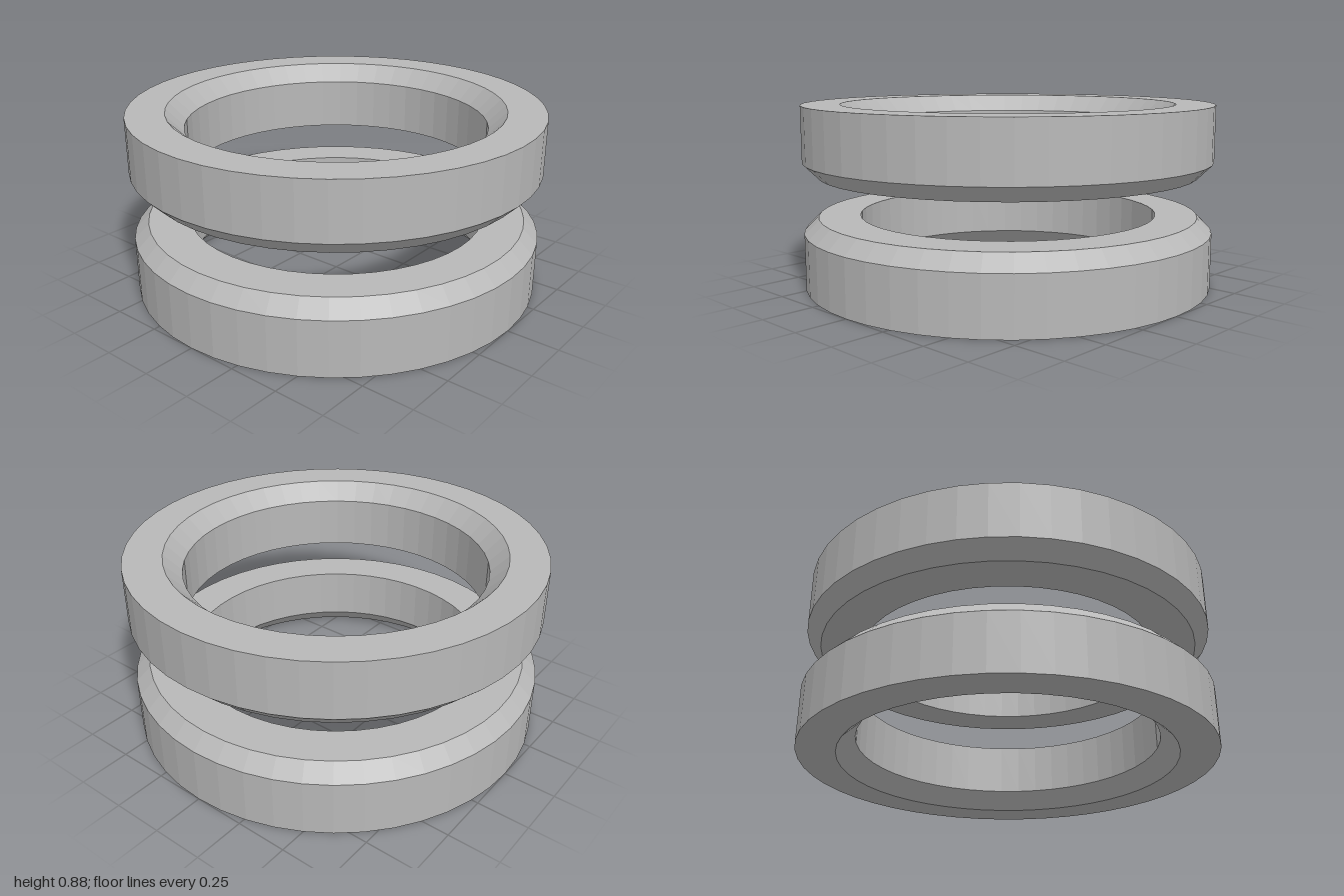
import * as THREE from 'three';

const HEIGHT = 0.34;
const TOTAL = 0.88;
const SEGMENTS = 48;

// Ring cross-section (radius, height): outer bevel on top, inner bevel underneath
const PROFILE = [
  [0.815, 0], [1, 0], [1, 0.27], [0.93, HEIGHT], [0.73, HEIGHT], [0.73, 0.085], [0.815, 0],
];

function bevelledRing(name, material) {
  const points = PROFILE.map(([r, y]) => new THREE.Vector2(r, y));
  // Separate faces give crisp facets
  const geometry = new THREE.LatheGeometry(points, SEGMENTS).toNonIndexed();
  geometry.computeVertexNormals();
  const mesh = new THREE.Mesh(geometry, material);
  mesh.name = name;
  return mesh;
}

export function createModel() {
  const model = new THREE.Group();
  model.name = 'ringPair';
  const grey = new THREE.MeshStandardMaterial({ color: 0xb8b8b8 });
  grey.name = 'light grey';

  // Lower ring stands on the ground
  const lower = bevelledRing('lowerRing', grey);

  // Upper ring is the same part turned over, with a gap between the two
  const upper = bevelledRing('upperRing', grey);
  upper.rotation.x = Math.PI;
  upper.position.y = TOTAL;

  model.add(lower, upper);
  return model;
}
